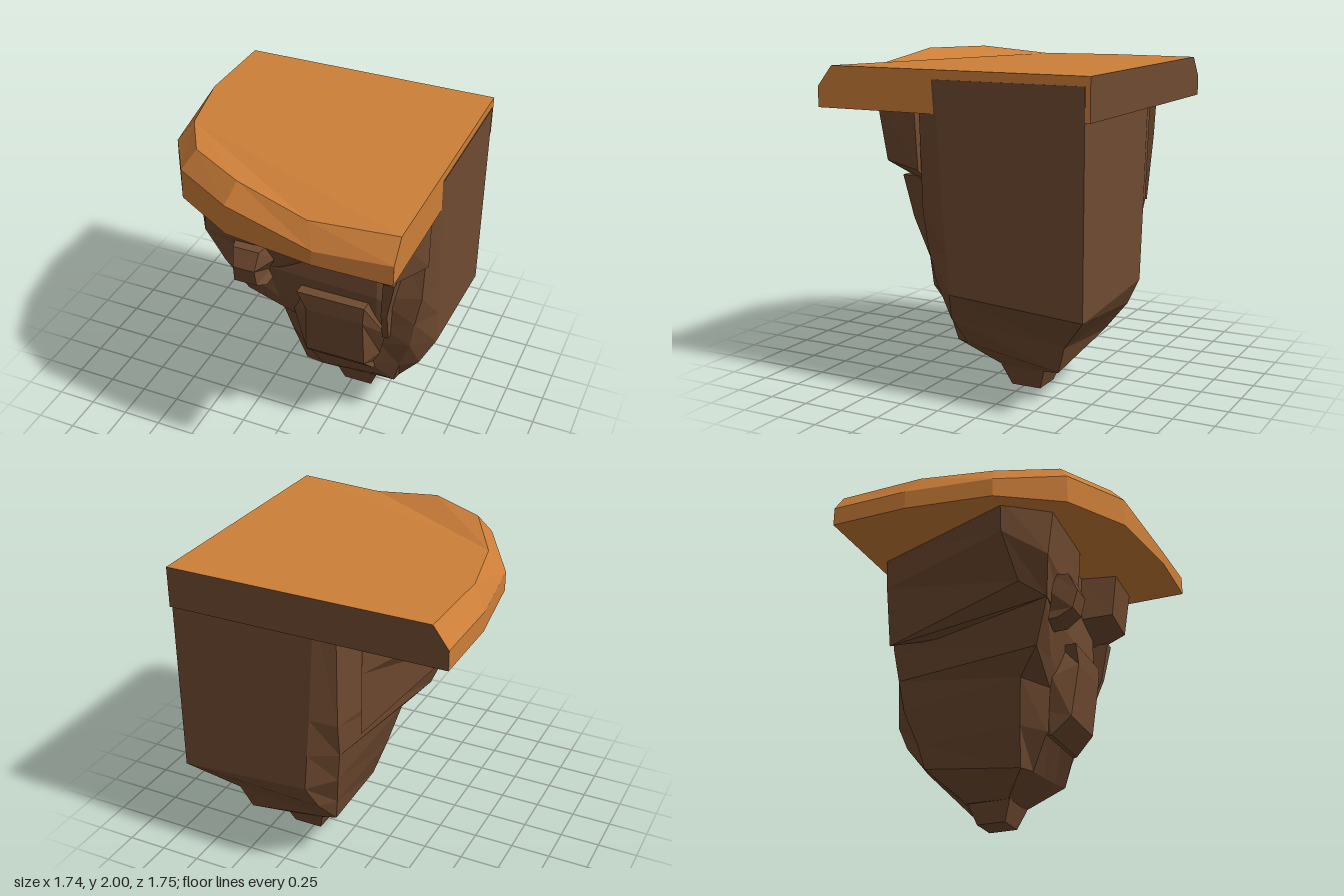
import * as THREE from 'three';

const rock = new THREE.MeshStandardMaterial({ color: 0x6f4a30 });
rock.name = 'brown rock';
const ochre = new THREE.MeshStandardMaterial({ color: 0xcd7f39 });
ochre.name = 'ochre ground';

// Skins cross-sections listed from bottom to top, each running
// back-right, front-right, front-left, back-left. Points are [x, y, z].
function loft(name, material, rings, { pivot = 0, skipLast = false } = {}) {
  const pos = [];
  const n = rings[0].length;
  const tri = (a, b, c) => pos.push(...a, ...b, ...c);
  for (let r = 0; r < rings.length - 1; r++) {
    const lo = rings[r], hi = rings[r + 1];
    for (let j = 0; j < (skipLast ? n - 1 : n); j++) {
      const k = (j + 1) % n;
      tri(lo[j], hi[k], lo[k]);
      tri(lo[j], hi[j], hi[k]);
    }
  }
  const bottom = rings[0], top = rings[rings.length - 1];
  for (let s = 1; s < n - 1; s++) {
    const i = (pivot + s) % n, k = (pivot + s + 1) % n;
    tri(bottom[pivot], bottom[i], bottom[k]);
    tri(top[pivot], top[k], top[i]);
  }
  const geometry = new THREE.BufferGeometry();
  geometry.setAttribute('position', new THREE.Float32BufferAttribute(pos, 3));
  geometry.computeVertexNormals();
  const mesh = new THREE.Mesh(geometry, material);
  mesh.name = name;
  return mesh;
}

// Level cross-section from [x, z] pairs
const level = (y, pts) => pts.map(([x, z]) => [x, y, z]);

// Level rectangle
const rect = (y, left, right, back, front) =>
  level(y, [[right, back], [right, front], [left, front], [left, back]]);

// Mirrors a point across the diagonal through the back corner
const mirror = ([x, y, z]) => [0.02 - z, y, 0.02 - x];

// Rock cross-section: a square back corner between two mirrored walls,
// and a broad front spaced evenly at depth z
function rockSection(corner, wallEnd, right, z, left) {
  const front = [0.2, 0.5, 0.8].map((t) =>
    [right[0] + (left[0] - right[0]) * t, right[1] + (left[1] - right[1]) * t, z]);
  return [corner, wallEnd, right, ...front, left, mirror(right), mirror(wallEnd)];
}

export function createModel() {
  const model = new THREE.Group();
  model.name = 'cornerIsland';

  // Ground slab with a wavy bevelled rim and two straight cut sides
  const rim = [[0.866, -0.88], [0.866, 0.875], [0.4, 0.875], [-0.155, 0.795],
    [-0.55, 0.56], [-0.79, 0.17], [-0.87, -0.38], [-0.87, -0.88]];
  const rimY = [1.82, 1.825, 1.79, 1.885, 1.885, 1.82, 1.82, 1.82];
  const crown = [[0.866, 1.95, -0.88], [0.866, 1.95, 0.775], [0.34, 1.92, 0.79], [-0.12, 2, 0.7],
    [-0.48, 2, 0.49], [-0.69, 1.95, 0.13], [-0.785, 1.95, -0.32], [-0.775, 1.95, -0.88]];
  model.add(loft('groundSlab', ochre,
    [level(1.7, rim), rim.map(([x, z], i) => [x, rimY[i], z]), crown],
    { pivot: 5, skipLast: true }));

  // Rock-coloured back cut of the slab
  const cut = new THREE.Shape([[-0.866, 1.7], [0.87, 1.7], [0.87, 1.82], [0.775, 1.95], [-0.866, 1.95]]
    .map(([x, y]) => new THREE.Vector2(x, y)));
  const back = new THREE.Mesh(new THREE.ShapeGeometry(cut), rock);
  back.name = 'slabBackCut';
  back.rotation.y = Math.PI;
  back.position.z = -0.88;
  model.add(back);

  // Main rock, tapering towards the tip
  const collar = rockSection([0.44, 0.13, -0.41], [0.44, 0.13, -0.14], [0.43, 0.13, -0.13], -0.12,
    [0.16, 0.13, -0.13]);
  const chin = rockSection([0.58, 0.19, -0.57], [0.64, 0.31, 0], [0.63, 0.32, 0.07], 0.05,
    [0, 0.26, 0.02]);
  const step = rockSection([0.63, 0.36, -0.63], [0.78, 0.49, 0.03], [0.67, 0.48, 0.1], 0.17,
    [-0.085, 0.5, 0.05]);
  const wallFoot = rockSection([0.87, 0.6, -0.85], [0.87, 0.66, -0.01], [0.75, 0.7, 0.15], 0.21,
    [-0.17, 0.78, 0.09]);
  const ledge = rockSection([0.87, 0.9, -0.85], [0.87, 0.9, 0.01], [0.78, 0.9, 0.18], 0.26,
    [-0.3, 0.91, 0.25]);
  const middle = rockSection([0.87, 1.15, -0.85], [0.87, 1.15, 0.03], [0.82, 1.12, 0.19], 0.31,
    [-0.4, 1.17, 0.36]);
  const head = rockSection([0.87, 1.895, -0.85], [0.87, 1.895, 0.08], [0.84, 1.895, 0.2], 0.3,
    [-0.5, 1.895, 0.25]);
  model.add(loft('rockBody', rock, [collar, chin, step, wallFoot, ledge, middle, head]));

  // Square tip
  model.add(loft('rockTip', rock, [
    rect(0, 0.2, 0.39, -0.36, -0.17),
    rect(0.135, 0.16, 0.44, -0.41, -0.12),
  ]));

  // Overhanging boulders under the slab
  model.add(loft('rightOverhang', rock, [
    [[0.8, 1.31, 0.17], [0.68, 1.28, 0.27], [0.5, 1.33, 0.27], [0.4, 1.37, 0.24]],
    [[0.85, 1.37, 0.2], [0.72, 1.39, 0.49], [0.43, 1.41, 0.5], [0.36, 1.38, 0.25]],
    level(1.75, [[0.855, 0.22], [0.76, 0.53], [0.45, 0.535], [0.38, 0.25]]),
  ]));
  model.add(loft('leftOverhang', rock, [
    [[0.18, 1.27, 0.27], [-0.06, 1.18, 0.32], [-0.4, 1.17, 0.36], [-0.51, 1.25, 0.22], [-0.3, 1.09, -0.76]],
    [[0.18, 1.29, 0.29], [0.09, 1.32, 0.38], [-0.5, 1.4, 0.41], [-0.66, 1.53, 0.17], [-0.32, 1.5, -0.79]],
    level(1.75, [[0.21, 0.29], [0.06, 0.42], [-0.47, 0.44], [-0.675, 0.17], [-0.33, -0.8]]),
  ], { pivot: 4 }));

  // Smaller knobs on the front
  model.add(loft('smallKnob', rock, [
    rect(1.075, -0.29, -0.11, 0.25, 0.38),
    rect(1.13, -0.28, -0.13, 0.28, 0.48),
    level(1.25, [[-0.07, 0.34], [-0.13, 0.51], [-0.27, 0.51], [-0.33, 0.34]]),
    level(1.36, [[-0.1, 0.36], [-0.12, 0.46], [-0.29, 0.46], [-0.32, 0.36]]),
  ]));
  model.add(loft('lowerBoulder', rock, [
    rect(0.48, 0.09, 0.53, 0.1, 0.19),
    [[0.57, 0.62, 0.19], [0.51, 0.6, 0.31], [0.12, 0.6, 0.31], [0.05, 0.62, 0.18]],
    [[0.62, 0.82, 0.24], [0.51, 0.95, 0.36], [0.14, 0.95, 0.36], [0, 0.83, 0.23]],
    rect(1.07, 0.08, 0.52, 0.25, 0.365),
  ]));
  model.add(loft('sideRib', rock, [
    rect(0.8, 0.6, 0.64, 0.15, 0.25),
    rect(1.05, 0.62, 0.66, 0.15, 0.35),
    rect(1.31, 0.64, 0.71, 0.2, 0.39),
  ]));
  return model;
}
